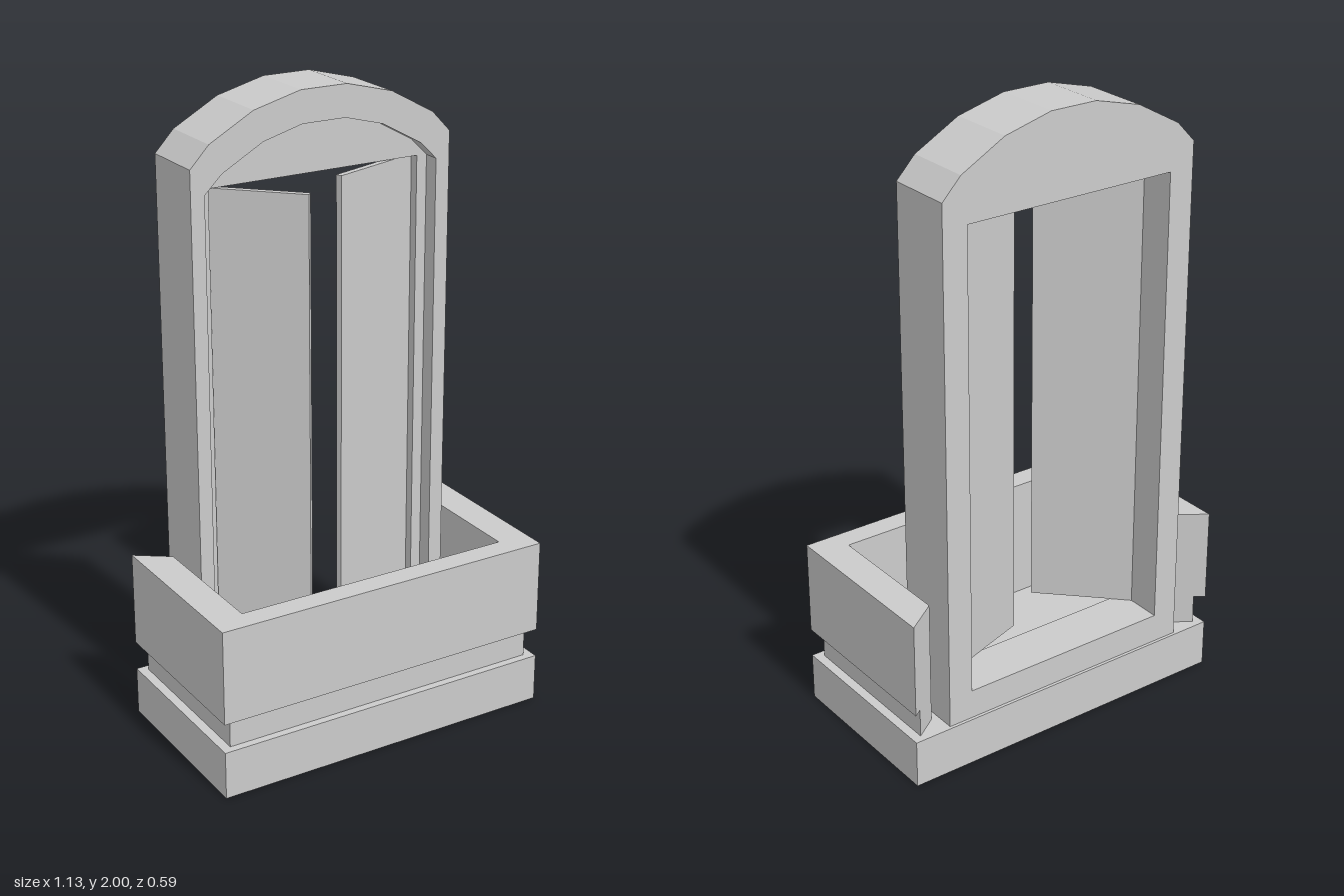
import * as THREE from 'three';

const grey = new THREE.MeshStandardMaterial({ color: 0xcccccc, flatShading: true });
const toShape = pts => new THREE.Shape(pts.map(([x, y]) => new THREE.Vector2(x, y)));

function addMesh(parent, name, geometry) {
  const mesh = new THREE.Mesh(geometry, grey);
  mesh.name = name;
  parent.add(mesh);
  return mesh;
}

function extrude(shape, depth) {
  return new THREE.ExtrudeGeometry(shape, { depth, bevelEnabled: false });
}

// U-shaped parapet layer with slanted rear ends
function parapetLayer(parent, name, x, front, back, y0, y1) {
  const ix = 0.46, iz = 0.22;
  const plan = toShape([
    [-x, -back], [-x, -front], [x, -front], [x, -back],
    [ix, iz], [ix, -iz], [-ix, -iz], [-ix, iz],
  ]);
  const geo = extrude(plan, y1 - y0).rotateX(-Math.PI / 2);
  addMesh(parent, name, geo).position.y = y0;
}

// Door leaf that swings about a vertical hinge at its outer edge
function doorLeaf(parent, name, side, hingeX, hingeZ, angle) {
  const w = 0.332, h = 1.485, t = 0.02;
  const hinge = new THREE.Group();
  hinge.name = name;
  hinge.position.set(hingeX, 0.25, hingeZ);
  hinge.rotation.y = side * angle;
  addMesh(hinge, name + 'Panel', new THREE.BoxGeometry(w, h, t))
    .position.set(-side * w / 2, h / 2, 0);
  parent.add(hinge);
}

export function createModel() {
  const model = new THREE.Group();
  model.name = 'balcony';

  // Floor slab and parapet with a recessed band
  addMesh(model, 'baseSlab', new THREE.BoxGeometry(1.13, 0.155, 0.59)).position.y = 0.0775;
  parapetLayer(model, 'recessedBand', 0.535, 0.27, -0.272, 0.155, 0.25);
  parapetLayer(model, 'parapet', 0.565, 0.295, -0.295, 0.25, 0.555);

  // Arched door surround: back plate with a rectangular opening
  const outline = [
    [-0.442, 0.155], [0.437, 0.155], [0.437, 1.815], [0.375, 1.88], [0.23, 1.96],
    [0.075, 2], [-0.08, 2], [-0.235, 1.96], [-0.38, 1.88], [-0.442, 1.815],
  ];
  const plate = toShape(outline);
  plate.holes.push(toShape([[-0.358, 0.25], [-0.358, 1.737], [0.355, 1.737], [0.355, 0.25]]));
  addMesh(model, 'doorFrame', extrude(plate, 0.165)).position.z = -0.285;

  // Raised rim round the front of the surround, with an arched opening
  const rim = toShape(outline);
  rim.holes.push(toShape([
    [-0.397, 0.2], [-0.397, 1.735], [-0.34, 1.79], [-0.205, 1.865], [-0.075, 1.9],
    [0.07, 1.9], [0.2, 1.865], [0.335, 1.79], [0.39, 1.735], [0.39, 0.2],
  ]));
  addMesh(model, 'archRim', extrude(rim, 0.052)).position.z = -0.12;

  // Pair of doors standing open by different amounts
  doorLeaf(model, 'rightDoor', -1, -0.368, -0.166, Math.PI / 4);
  doorLeaf(model, 'leftDoor', 1, 0.355, -0.161, 0.32);

  return model;
}
